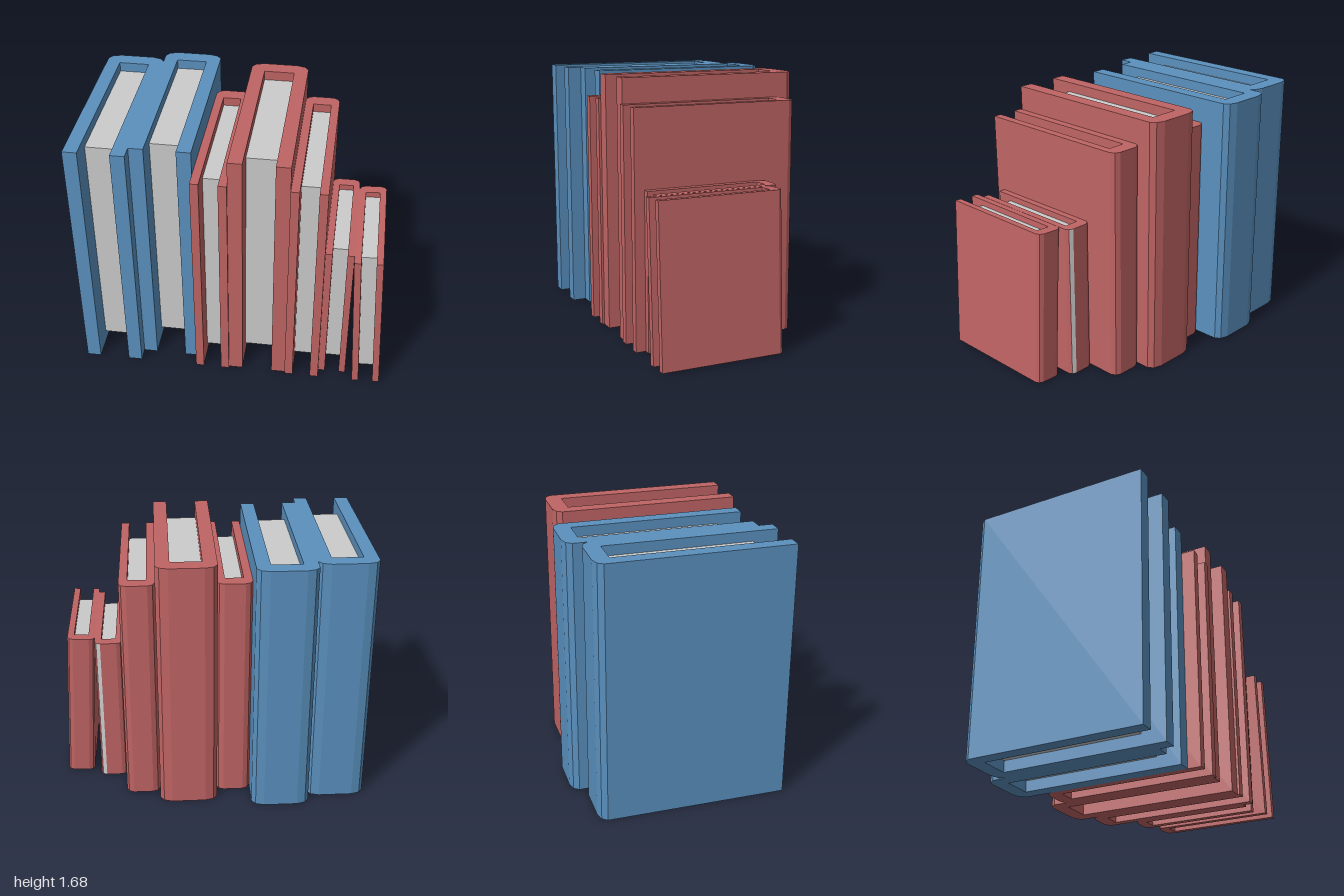
import * as THREE from 'three';

const mat = (color) => new THREE.MeshStandardMaterial({ color, flatShading: true });
const blue = mat(0x5a90be), red = mat(0xc06464), paper = mat(0xcccccc);

// One book standing on y = 0, centred on x, spine at z = zBack, open edge at z = zFront
function makeBook(name, w, h, zBack, zFront, cover) {
  const book = new THREE.Group();
  book.name = name;
  const d = zFront - zBack, x = w / 2;
  const board = 0.24 * w, spine = 0.087 * d;

  // U-shaped cover with a bevelled spine, drawn with shape y = -z
  const half = [
    [x - board, -zFront],
    [x, -zFront],
    [x, -zBack - 0.041 * d],
    [x - 0.066 * w, -zBack - 0.013 * d],
    [x - 0.21 * w, -zBack],
  ];
  const inner = -zBack - spine;
  const mirrored = half.map(([px, py]) => [-px, py]).reverse();
  const outline = [...half, ...mirrored, [board - x, inner], [x - board, inner]];
  const shape = new THREE.Shape(outline.map(([px, py]) => new THREE.Vector2(px, py)));
  const coverGeo = new THREE.ExtrudeGeometry(shape, { depth: h, bevelEnabled: false });
  coverGeo.rotateX(-Math.PI / 2);
  const coverMesh = new THREE.Mesh(coverGeo, cover);
  coverMesh.name = 'cover';

  // Page block, recessed at top, bottom and front
  const y0 = 0.045 * h, y1 = h * (1 - 0.038);
  const z0 = zBack + spine, z1 = zFront - 0.134 * d;
  const pages = new THREE.Mesh(new THREE.BoxGeometry(w - 2 * board, y1 - y0, z1 - z0), paper);
  pages.position.set(0, (y0 + y1) / 2, (z0 + z1) / 2);
  pages.name = 'pages';

  book.add(coverMesh, pages);
  return book;
}

export function createModel() {
  const model = new THREE.Group();
  model.name = 'rowOfBooks';

  // name, left x, width, height, spine z, front z, cover
  const upright = [
    ['largeBlueBookOuter', -1.0, 0.38, 1.68, -0.56, 0.65, blue],
    ['largeBlueBookInner', -0.62, 0.38, 1.68, -0.65, 0.56, blue],
    ['mediumRedBookA', -0.24, 0.225, 1.52, -0.455, 0.65, red],
    ['largeRedBook', -0.015, 0.38, 1.68, -0.575, 0.635, red],
    ['mediumRedBookB', 0.365, 0.225, 1.52, -0.455, 0.65, red],
    ['smallRedBook', 0.59, 0.18, 1.02, -0.235, 0.585, red],
  ];
  for (const [name, x, w, ...rest] of upright) {
    const book = makeBook(name, w, ...rest);
    book.position.x = x + w / 2;
    model.add(book);
  }

  // Pale strip on one spine bevel of the small upright book
  const dx = 0.144 * 0.18, dz = 0.013 * 0.82;
  const strip = new THREE.Mesh(new THREE.PlaneGeometry(Math.hypot(dx, dz), 1.02), paper);
  strip.name = 'spineStrip';
  strip.position.set(0.68 + 0.362 * 0.18 + 0.0004, 0.51, -0.235 + dz / 2 - 0.001);
  strip.rotation.y = Math.PI - Math.atan2(dz, dx);
  model.add(strip);

  // Small book leaning against its neighbour, pivoting on its lower edge
  const leaning = new THREE.Group();
  leaning.name = 'leaningBook';
  const book = makeBook('smallRedBookLeaning', 0.18, 1.02, -0.17, 0.65, red);
  book.position.x = 0.09;
  leaning.add(book);
  leaning.position.x = 0.82;
  leaning.rotation.z = 0.049;
  model.add(leaning);

  return model;
}
